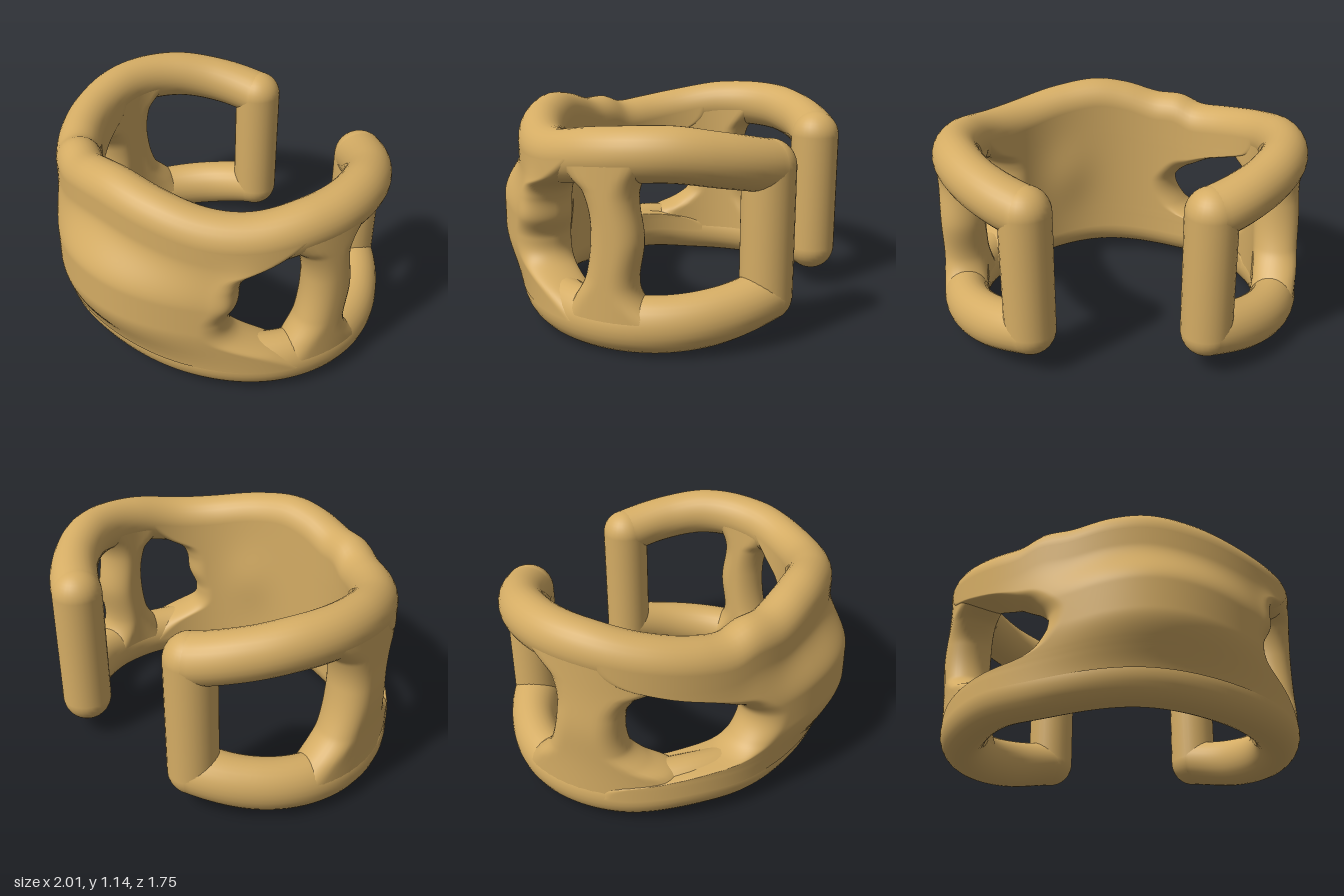
import * as THREE from 'three';

const END = 149; // angle of the open ends, degrees from the front
const { lerp, clamp, degToRad, smoothstep } = THREE.MathUtils;

// Smooth function through [x, value] points (cubic Hermite)
function spline(pts) {
  const n = pts.length;
  const slope = (i) => {
    const p = pts[Math.max(i - 1, 0)], q = pts[Math.min(i + 1, n - 1)];
    return (q[1] - p[1]) / (q[0] - p[0]);
  };
  return (x) => {
    let i = 0;
    while (i < n - 2 && x > pts[i + 1][0]) i++;
    const [x0, y0] = pts[i], [x1, y1] = pts[i + 1], h = x1 - x0;
    const t = clamp((x - x0) / h, 0, 1), t2 = t * t, t3 = t2 * t;
    return (2 * t3 - 3 * t2 + 1) * y0 + (t3 - 2 * t2 + t) * h * slope(i)
      + (3 * t2 - 2 * t3) * y1 + (t3 - t2) * h * slope(i + 1);
  };
}

// Heights of the rail centrelines around the band
const topY = spline([[-149, 0.89], [-130, 0.945], [-110, 0.985], [-82, 0.98], [-60, 0.93], [-42, 0.89], [-32, 0.88],
  [-24, 0.92], [-14, 0.925], [-2, 0.975], [10, 1.0], [25, 0.975], [45, 0.925], [60, 0.92], [82, 0.965], [110, 0.985],
  [130, 0.945], [149, 0.89]]);
const bottomY = spline([[-149, 0.23], [-128, 0.175], [-105, 0.147], [-70, 0.145], [-45, 0.175], [-25, 0.17],
  [8, 0.2], [40, 0.17], [70, 0.145], [105, 0.147], [128, 0.175], [149, 0.23]]);

// Point on the band: angle in degrees, offset outward from the centreline, height
function bandPoint(deg, out, y) {
  const a = degToRad(deg), s = Math.sin(a), c = Math.cos(a);
  const depth = c > 0 ? 0.76 : 0.72;
  const normal = new THREE.Vector2(s / 0.875, c / depth).normalize();
  return [0.875 * s + normal.x * out, y, -0.12 + depth * c + normal.y * out];
}

// Skin a list of closed rings of points
function loft(rings) {
  const n = rings[0].length, index = [];
  for (let i = 0; i < rings.length - 1; i++) {
    for (let j = 0; j < n; j++) {
      const a = i * n + j, b = i * n + (j + 1) % n;
      index.push(a, a + n, b, b, a + n, b + n);
    }
  }
  const geo = new THREE.BufferGeometry();
  geo.setAttribute('position', new THREE.Float32BufferAttribute(rings.flat(2), 3));
  geo.setIndex(index);
  geo.computeVertexNormals();
  return geo;
}

// Round rail running around the band, a little thicker at the open ends
function rail(height, tall) {
  const rings = [];
  for (let i = 0; i <= 160; i++) {
    const deg = -END + (2 * END * i) / 160, ring = [];
    const k = smoothstep(Math.abs(deg), 125, END);
    const rx = lerp(0.125, 0.135, k), ry = lerp(tall, 0.135, k);
    for (let j = 0; j < 28; j++) {
      const t = (j / 28) * Math.PI * 2;
      ring.push(bandPoint(deg, rx * Math.cos(t), height(deg) + ry * Math.sin(t)));
    }
    rings.push(ring);
  }
  return loft(rings);
}

// Upright wall between the rails; from/to give its side edges at height v (0..1)
function wall(from, to, outer, inner, n) {
  const rings = [], rows = 80;
  for (let i = 0; i <= rows; i++) {
    const v = i / rows, a = from(v), b = to(v), ring = [];
    for (let j = 0; j < 2 * n; j++) {
      const t = (j / n) * Math.PI;
      const deg = (a + b) / 2 + ((b - a) / 2) * Math.cos(t);
      // Rounded side edges
      const gap = Math.min(deg - a, b - deg) * 0.0145;
      const k = Math.max(0, 1 - gap / 0.12);
      const round = Math.sqrt(Math.max(0, 1 - k * k));
      const out = round * (j <= n ? outer(deg, v) : -inner(deg, v));
      ring.push(bandPoint(deg, out, lerp(bottomY(deg), topY(deg), v)));
    }
    rings.push(ring);
  }
  return loft(rings);
}

const bump = (x, centre, width) => Math.exp(-(((x - centre) / width) ** 2));

// Swollen outside of the front panel, with a lip at the left opening
function panelOuter(deg, v) {
  const swell = smoothstep(v, -0.08, 0.34) * (1 - smoothstep(v, 0.54, 0.88));
  const belly = 0.12 * swell * bump(deg, 13, 30);
  const lip = 0.055 * bump(deg, 57, 6) * bump(v, 0.6, 0.2);
  return 0.125 + belly + lip;
}
const panelInner = (deg, v) => 0.125 + 0.02 * bump(deg, 25, 12) * bump(v, 0.5, 0.25);

export function createModel() {
  const group = new THREE.Group();
  const gold = new THREE.MeshStandardMaterial({ color: 0xd4ac64 });
  gold.name = 'gold';
  const add = (name, geometry) => {
    const mesh = new THREE.Mesh(geometry, gold);
    mesh.name = name;
    group.add(mesh);
    return mesh;
  };

  add('topRail', rail(topY, 0.135));
  add('bottomRail', rail(bottomY, 0.142));

  // Front panel, its edges shaping the two front openings
  const panelRightEdge = spline([[0, -82], [0.1, -74], [0.15, -50], [0.19, -34], [0.28, -26], [0.45, -22.5],
    [0.58, -27], [0.68, -34], [0.76, -44], [0.82, -60], [0.88, -75], [1, -82]]);
  const panelLeftEdge = spline([[0, 84], [0.12, 72], [0.25, 56], [0.4, 53], [0.55, 56],
    [0.7, 57], [0.8, 61], [0.88, 72], [1, 84]]);
  add('frontPanel', wall(panelRightEdge, panelLeftEdge, panelOuter, panelInner, 80));

  // Side posts, flaring into the rails
  const postThickness = () => 0.12;
  add('leftSidePost', wall(
    spline([[0, 68], [0.15, 74], [0.3, 79], [0.6, 81], [0.8, 78], [0.88, 73], [1, 66]]),
    spline([[0, 112], [0.14, 102], [0.25, 99], [0.5, 101], [0.75, 99], [0.86, 101], [1, 108]]),
    postThickness, postThickness, 20));
  add('rightSidePost', wall(
    spline([[0, -116], [0.15, -107], [0.3, -98], [0.6, -93], [0.8, -95], [0.88, -100], [1, -110]]),
    spline([[0, -42], [0.16, -50], [0.24, -59], [0.34, -66], [0.6, -67], [0.75, -62], [0.84, -54], [1, -46]]),
    (deg, v) => 0.12 + 0.015 * bump(v, 0.5, 0.2), postThickness, 24));

  // Round posts closing the open ends
  for (const [name, deg] of [['leftEndPost', END], ['rightEndPost', -END]]) {
    const low = bottomY(deg), high = topY(deg);
    add(name, new THREE.CapsuleGeometry(0.135, high - low, 10, 28))
      .position.set(...bandPoint(deg, 0, (low + high) / 2));
  }
  return group;
}
